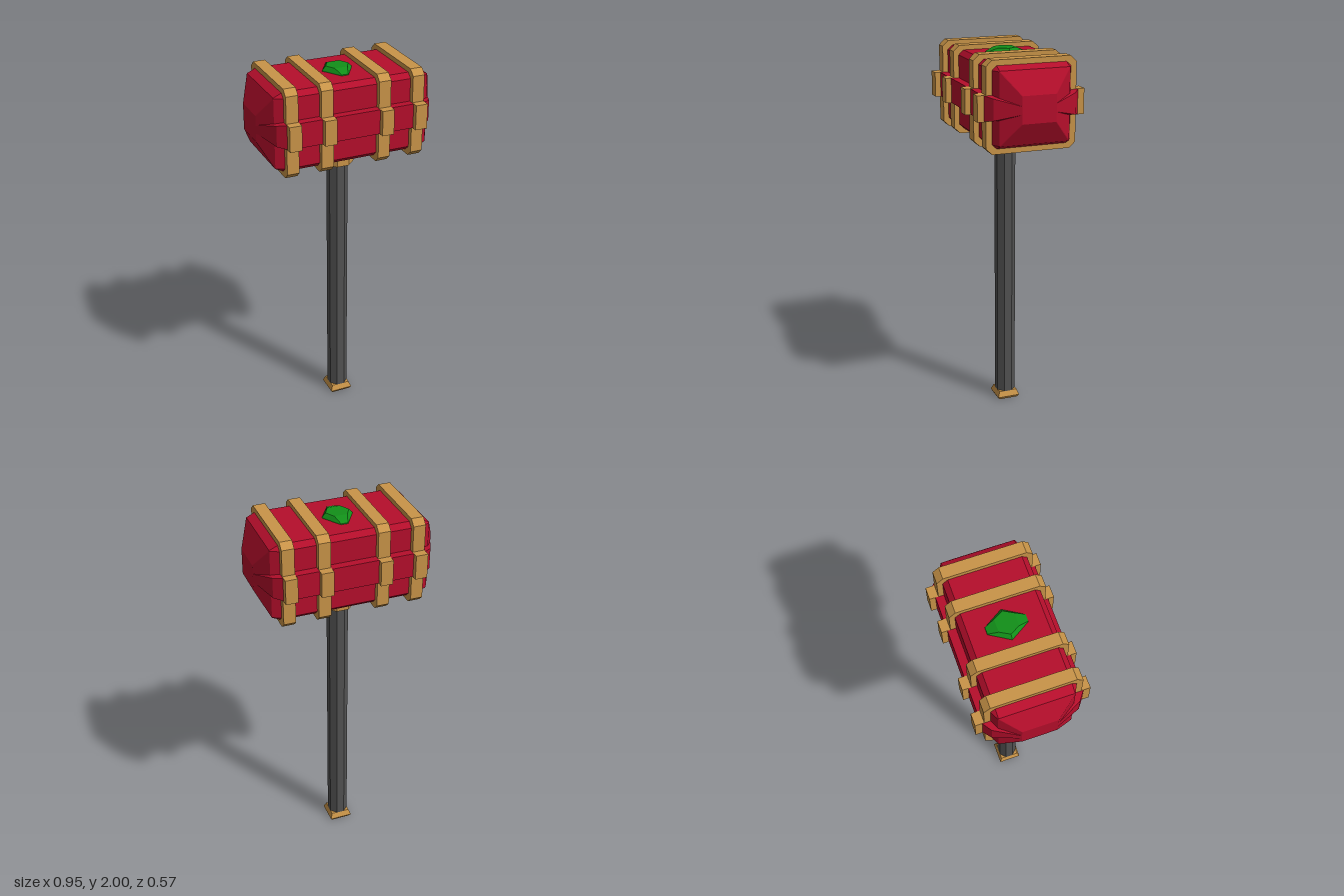
import * as THREE from 'three';

const material = (color) => new THREE.MeshStandardMaterial({ color, flatShading: true });
const red = material(0xb50e2b);
const gold = material(0xc99448);
const dark = material(0x525252);
const green = material(0x129019);

const HEAD_Y = 1.765;

// Mirrors half an outline across its second axis to close the loop.
const mirrorHalf = (half) => [...half, ...half.slice().reverse().map(([a, b]) => [a, -b])];

// Mirrors a quarter outline across both axes.
const mirrorQuarter = (q) => mirrorHalf([...q, ...q.slice().reverse().map(([a, b]) => [-a, b])]);

// Skins closed rings of points and caps both ends with fans.
function loft(rings) {
  const pos = [];
  const tri = (...pts) => pts.forEach((p) => pos.push(...p));
  const n = rings[0].length;
  for (let r = 0; r < rings.length - 1; r++) {
    for (let i = 0; i < n; i++) {
      const j = (i + 1) % n;
      const [a, b, c, d] = [rings[r][i], rings[r][j], rings[r + 1][j], rings[r + 1][i]];
      tri(a, b, c);
      tri(a, c, d);
    }
  }
  const centre = (ring) => [0, 1, 2].map((k) => ring.reduce((s, p) => s + p[k], 0) / n);
  const first = rings[0], last = rings[rings.length - 1];
  const c0 = centre(first), c1 = centre(last);
  for (let i = 0; i < n; i++) {
    const j = (i + 1) % n;
    tri(c0, first[j], first[i]);
    tri(c1, last[i], last[j]);
  }
  const geometry = new THREE.BufferGeometry();
  geometry.setAttribute('position', new THREE.Float32BufferAttribute(pos, 3));
  geometry.computeVertexNormals();
  return geometry;
}

export function createModel() {
  const model = new THREE.Group();
  model.name = 'hammer';
  const add = (name, geometry, mat, y = 0, x = 0, parent = model) => {
    const mesh = new THREE.Mesh(geometry, mat);
    mesh.name = name;
    mesh.position.set(x, y, 0);
    parent.add(mesh);
    return mesh;
  };

  // Head: chamfered block with a raised rib on both sides, tapering to small end faces.
  // Each quarter outline lists (height, depth) pairs.
  const full = [[0.21, 0.185], [0.185, 0.212], [0.065, 0.212], [0.065, 0.255]];
  const shoulder = [[0.187, 0.184], [0.184, 0.187], [0.055, 0.187], [0.055, 0.218]];
  const end = [[0.07, 0.088], [0.068, 0.09], [0.022, 0.09], [0.02, 0.091]];
  const stations = [
    [-0.475, end], [-0.415, shoulder], [-0.365, full],
    [0.365, full], [0.415, shoulder], [0.475, end],
  ];
  add('head', loft(stations.map(([x, q]) => mirrorQuarter(q).map(([y, z]) => [x, y, z]))), red, HEAD_Y);

  // Four bands wrapping the head and its side ribs.
  const bands = new THREE.Group();
  bands.name = 'bands';
  model.add(bands);
  const bandOutline = mirrorQuarter([[0.235, 0.208], [0.205, 0.24], [0.066, 0.24], [0.066, 0.285]]);
  for (const x of [-0.34, -0.155, 0.155, 0.34]) {
    const rings = [-0.032, 0.032].map((dx) => bandOutline.map(([y, z]) => [dx, y, z]));
    add('band', loft(rings), gold, HEAD_Y, x, bands);
  }

  // Gem set into the top of the head.
  const gemRing = (y, tipZ, tipX, sideX) =>
    mirrorHalf([[tipZ, tipX], [0, sideX], [-tipZ, tipX]]).map(([z, x]) => [x, y, z]);
  add('gem', loft([gemRing(1.965, 0.102, 0.02, 0.084), gemRing(1.98, 0.1, 0.018, 0.08),
    gemRing(2, 0.05, 0.034, 0.062)]), green);

  // Octagonal neck, collar and handle.
  const octagon = (top, bottom, height) =>
    new THREE.CylinderGeometry(top, bottom, height, 8).rotateY(Math.PI / 8);
  add('neck', octagon(0.04, 0.06, 0.06), red, 1.55);
  add('collar', octagon(0.086, 0.086, 0.062), gold, 1.499);
  add('handle', octagon(0.056, 0.056, 1.45), dark, 0.76);

  // Square flared pommel.
  const square = (y, h) => [[-h, -h], [h, -h], [h, h], [-h, h]].map(([z, x]) => [x, y, z]);
  add('pommel', loft([square(0, 0.054), square(0.015, 0.063), square(0.046, 0.051)]), gold);

  return model;
}
